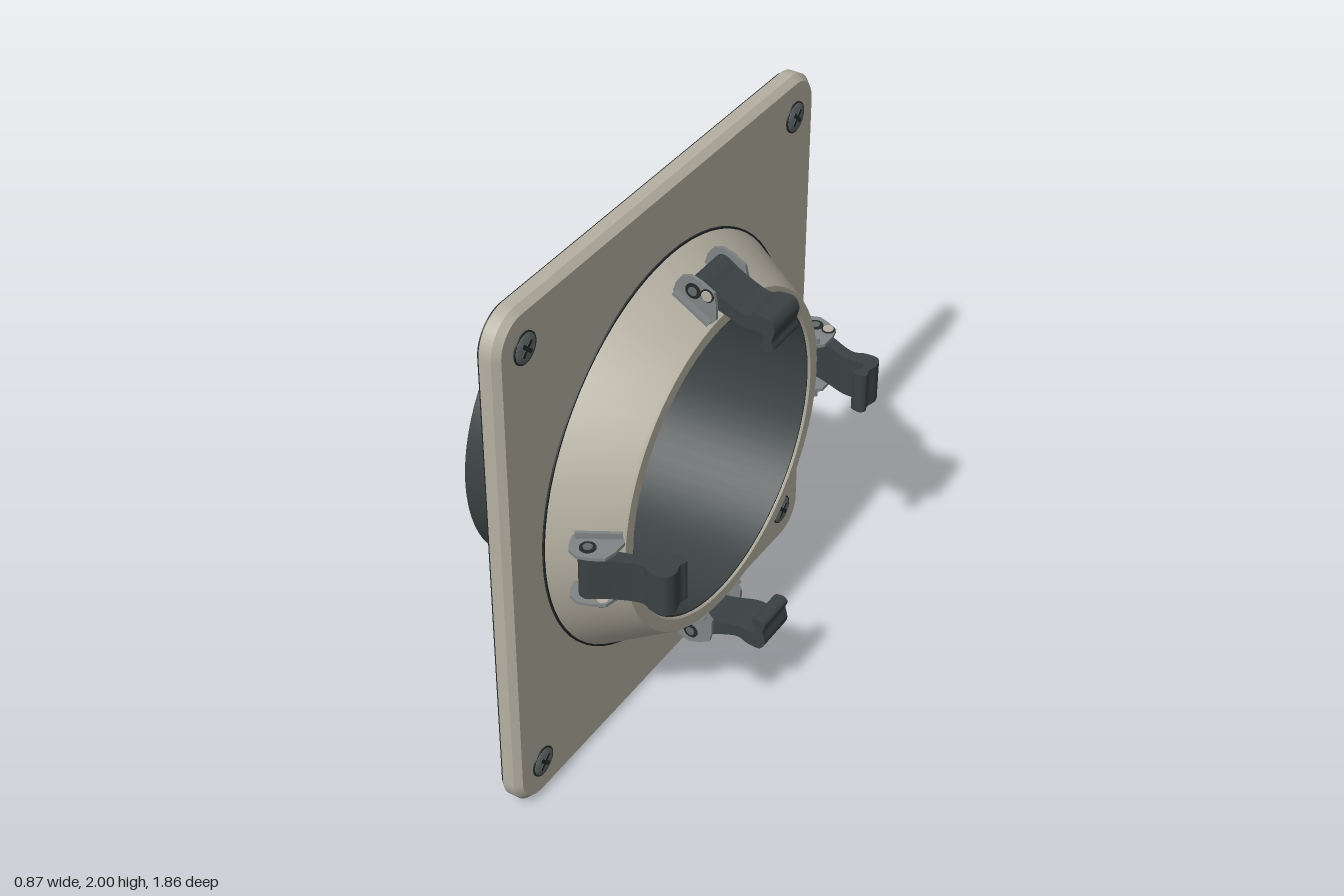
import * as THREE from 'three';
import { toCreasedNormals } from 'three/addons/utils/BufferGeometryUtils.js';

const mat = (name, color) => new THREE.MeshStandardMaterial({ name, color });
const V = (a) => a.map(([x, y]) => new THREE.Vector2(x, y));

export function createModel() {
  const beige = mat('beige plastic', 0xb5b0a2);
  const dark = mat('dark housing', 0x3b4243);
  const black = mat('black rubber', 0x24292a);
  const grey = mat('grey metal', 0x808484);
  const steel = mat('screw steel', 0x636a6b);

  // The body is built around local +z, then turned to face +x
  const body = new THREE.Group();
  body.name = 'socketBody';

  const add = (parent, name, geo, material, x = 0, y = 0, z = 0) => {
    const m = new THREE.Mesh(geo, material);
    m.name = name;
    m.position.set(x, y, z);
    parent.add(m);
    return m;
  };
  const lathe = (pts, seg = 72) =>
    toCreasedNormals(new THREE.LatheGeometry(V(pts), seg).rotateX(Math.PI / 2), 0.5);
  const disc = (r, h, seg = 28) => new THREE.CylinderGeometry(r, r, h, seg).rotateX(Math.PI / 2);

  // Rounded rectangle with a round opening
  const plateShape = (w, h, r, hole) => {
    const s = new THREE.Shape();
    s.absarc(w - r, h - r, r, 0, Math.PI / 2);
    s.absarc(-w + r, h - r, r, Math.PI / 2, Math.PI);
    s.absarc(-w + r, -h + r, r, Math.PI, Math.PI * 1.5);
    s.absarc(w - r, -h + r, r, Math.PI * 1.5, Math.PI * 2);
    s.closePath();
    s.holes.push(new THREE.Path().absarc(0, 0, hole, 0, Math.PI * 2, true));
    return s;
  };
  const slab = (shape, depth, bevel = 0) => toCreasedNormals(new THREE.ExtrudeGeometry(shape, {
    depth, curveSegments: 24, bevelEnabled: bevel > 0, bevelSegments: 1,
    bevelSize: bevel, bevelThickness: bevel, bevelOffset: -bevel,
  }), 0.5);

  // Mounting plate: straight back part, chamfered front part, gasket behind
  add(body, 'plateBack', slab(plateShape(0.93, 1, 0.13, 0.572), 0.042), beige, 0, 0, -0.072);
  add(body, 'plateFront', slab(plateShape(0.93, 1, 0.13, 0.62), 0.01, 0.022), beige, 0, 0, -0.038);
  add(body, 'gasket', slab(plateShape(0.92, 0.99, 0.125, 0.572), 0.012), black, 0, 0, -0.084);

  // Cup with hollow front
  add(body, 'cup', lathe([
    [0, -0.44], [0.566, -0.44], [0.571, -0.435], [0.571, -0.135], [0.578, -0.13],
    [0.578, -0.01], [0.562, -0.01], [0.562, 0.212], [0.553, 0.212], [0.553, -0.33], [0, -0.33],
  ]), dark);

  // Conical collar and the dark seam at its foot
  add(body, 'collar', lathe([
    [0.74, -0.02], [0.74, 0], [0.618, 0.21], [0.61, 0.22], [0.566, 0.22], [0.56, 0.214], [0.56, -0.02],
  ]), beige);
  add(body, 'collarSeam', lathe([[0.747, -0.01], [0.747, 0], [0.73, 0]]), black);

  // Three contacts on the cup floor
  for (const [x, y] of [[0.18, 0.14], [-0.18, 0.14], [0, -0.195]]) {
    add(body, 'contact', lathe([
      [0.066, -0.335], [0.066, -0.318], [0.06, -0.312], [0, -0.312],
    ], 32), dark, x, y);
    add(body, 'contactRing', lathe([
      [0.077, -0.335], [0.077, -0.324], [0.066, -0.324],
    ], 32), black, x, y);
  }

  // Corner screws with cross recess
  for (const sx of [1, -1]) for (const sy of [1, -1]) {
    const screw = new THREE.Group();
    screw.name = 'screw';
    screw.position.set(sx * 0.793, sy * 0.855, 0);
    add(screw, 'screwSeat', disc(0.056, 0.006), black, 0, 0, -0.004);
    add(screw, 'screwHead', lathe([[0.051, -0.01], [0.051, 0], [0.042, 0.004], [0, 0.005]], 28), steel);
    for (const a of [Math.PI / 4, -Math.PI / 4])
      add(screw, 'screwSlot', new THREE.BoxGeometry(0.062, 0.014, 0.003), black, 0, 0, 0.005).rotation.z = a;
    body.add(screw);
  }

  // Side profiles are given as (distance along axis, radius) and widened across x
  const across = (points, width, smooth) => {
    const s = smooth
      ? new THREE.Shape(new THREE.SplineCurve(V([...points, points[0]])).getPoints(64))
      : new THREE.Shape(V(points));
    const g = new THREE.ExtrudeGeometry(s, { depth: width, bevelEnabled: false });
    return toCreasedNormals(g.translate(0, 0, -width / 2).rotateY(-Math.PI / 2), 0.6);
  };
  const bracketSide = [
    [0.07, 0.675], [0.085, 0.727], [0.105, 0.757], [0.14, 0.77], [0.18, 0.757],
    [0.225, 0.733], [0.235, 0.69], [0.235, 0.635], [0.215, 0.612], [0.19, 0.615],
  ];
  const leverSide = [
    [0.112, 0.7], [0.13, 0.745], [0.165, 0.752], [0.23, 0.713], [0.32, 0.677], [0.365, 0.69],
    [0.415, 0.69], [0.434, 0.655], [0.425, 0.61], [0.433, 0.582], [0.415, 0.565], [0.38, 0.575],
    [0.397, 0.61], [0.385, 0.632], [0.32, 0.63], [0.24, 0.655], [0.19, 0.668], [0.13, 0.672],
  ];
  const plateGeo = across(bracketSide, 0.012);
  const leverGeo = across(leverSide, 0.156, true);
  const flangeGeo = new THREE.BoxGeometry(0.035, 0.012, 0.15).rotateX(Math.atan2(0.13, 0.22));
  const pin = (r, w) => new THREE.CylinderGeometry(r, r, w, 20).rotateZ(Math.PI / 2);

  // Four spring latches around the collar
  for (let i = 0; i < 4; i++) {
    const latch = new THREE.Group();
    latch.name = 'latch';
    latch.rotation.z = i * Math.PI / 2;
    for (const s of [1, -1]) {
      add(latch, 'bracketSide', plateGeo, grey, s * 0.095);
      add(latch, 'bracketFlange', flangeGeo, grey, s * 0.107, 0.66, 0.152);
    }
    add(latch, 'lever', leverGeo, dark);
    add(latch, 'hingePin', pin(0.028, 0.208), black, 0, 0.717, 0.15);
    add(latch, 'hingePinCore', pin(0.016, 0.214), steel, 0, 0.717, 0.15);
    add(latch, 'stopPinRim', pin(0.024, 0.012), black, -0.098, 0.717, 0.202);
    add(latch, 'stopPin', pin(0.019, 0.02), beige, -0.098, 0.717, 0.202);
    body.add(latch);
  }

  body.rotation.y = Math.PI / 2;
  body.position.y = 1;
  const model = new THREE.Group();
  model.name = 'panelSocket';
  model.add(body);
  return model;
}
